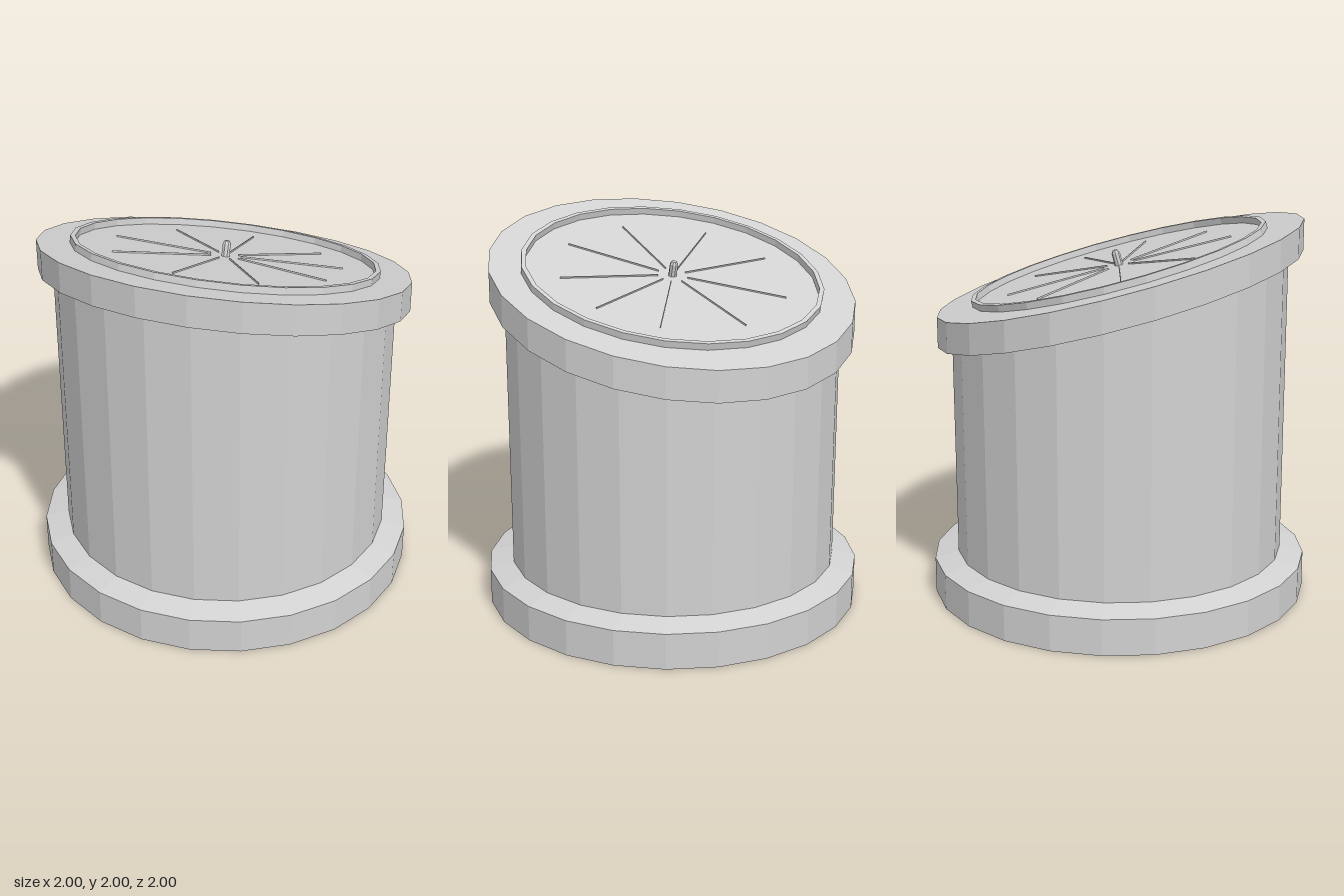
import * as THREE from 'three';

const SIDES = 24;
const SLOPE = 0.266; // rise of the lid per unit of z

export function createModel() {
  const model = new THREE.Group();
  const grey = new THREE.MeshStandardMaterial({ color: 0xd2d2d2, flatShading: true, side: THREE.DoubleSide });
  grey.name = 'lightGrey';

  const add = (parent, name, geometry) => {
    const mesh = new THREE.Mesh(geometry, grey);
    mesh.name = name;
    parent.add(mesh);
    return mesh;
  };
  const lathe = (points) =>
    new THREE.LatheGeometry(points.map(([r, y]) => new THREE.Vector2(r, y)), SIDES);
  // Slants every vertex above minY along z
  const shear = (geometry, minY) => {
    const p = geometry.attributes.position;
    for (let i = 0; i < p.count; i++) {
      if (p.getY(i) > minY) p.setY(i, p.getY(i) + SLOPE * p.getZ(i));
    }
    geometry.computeVertexNormals();
    return geometry;
  };

  // Hollow foot with a sloping shoulder, open underneath
  add(model, 'foot', lathe([[1, 0], [1, 0.19], [0.875, 0.225]]));

  // Open tube with a slanted top
  add(model, 'tube', shear(lathe([[0.875, 0.225], [0.875, 1.59]]), 1));

  // Slanted lid with upright walls
  const lid = new THREE.CylinderGeometry(0.95, 0.95, 0.16, SIDES);
  lid.translate(0, 1.6675, 0);
  add(model, 'lid', shear(lid, 1));

  // Dial lying on the slanted lid
  const dial = new THREE.Group();
  dial.name = 'dial';
  dial.position.y = 1.7475;
  dial.rotation.x = -Math.atan(SLOPE);
  model.add(dial);

  add(dial, 'dialRim', lathe([[0.79, 0], [0.79, 0.035], [0.765, 0.035], [0.765, 0]]));

  // Fine radial marks
  for (const degrees of [10, 50, 90, 135, 174, 219, 260, 303, 336]) {
    const a = THREE.MathUtils.degToRad(degrees);
    const mark = add(dial, 'hourMark', new THREE.BoxGeometry(0.52, 0.008, 0.004));
    mark.position.set(Math.cos(a) * 0.34, 0.004, Math.sin(a) * 0.34);
    mark.rotation.y = -a;
  }

  // Small centre pin with a bevelled tip
  const pin = [[0.022, 0], [0.022, 0.065], [0.013, 0.08], [0, 0.084]];
  add(dial, 'centrePin', new THREE.LatheGeometry(pin.map(([r, y]) => new THREE.Vector2(r, y)), 8));

  return model;
}
